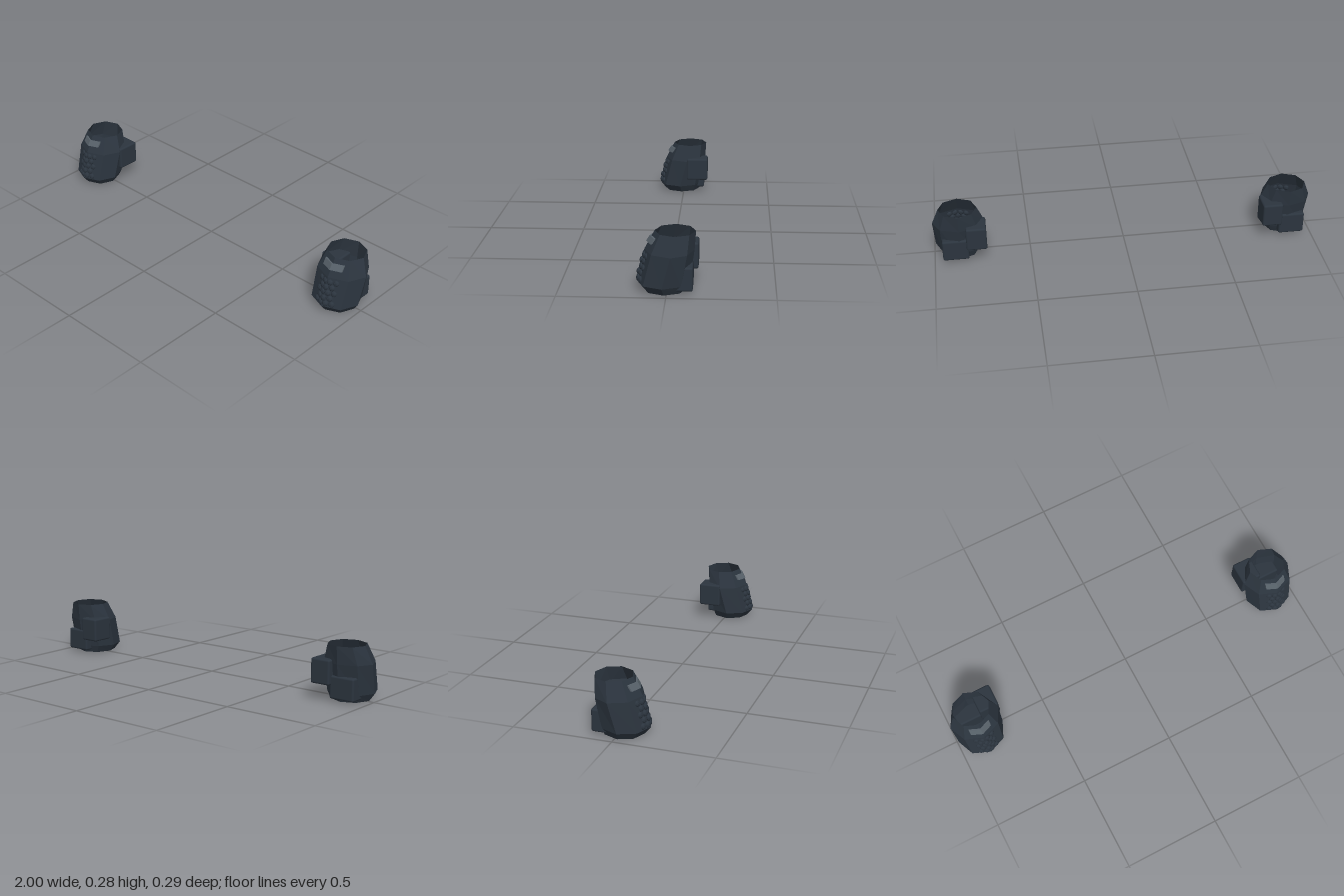
import * as THREE from 'three';
import { RoundedBoxGeometry } from 'three/addons/geometries/RoundedBoxGeometry.js';

const dark = new THREE.MeshStandardMaterial({ color: 0x2b343e, flatShading: true, side: THREE.DoubleSide });
const smooth = new THREE.MeshStandardMaterial({ color: 0x2b343e });
const pale = new THREE.MeshStandardMaterial({ color: 0x566068, flatShading: true });

// Body rings from the floor up: height, centre z, half width, reach to front, reach to back
const RINGS = [
  [0, 0.012, 0, 0, 0],
  [0, 0.012, 0.1, 0.1, 0.102],
  [0.038, 0.02, 0.126, 0.123, 0.123],
  [0.19, -0.02, 0.134, 0.125, 0.105],
  [0.279, -0.0365, 0.099, 0.0945, 0.0945],
];
const FLANK = Math.SQRT2 - 1; // how fast the front falls away from its ridge

function add(group, name, geometry, material, x = 0, y = 0, z = 0) {
  const mesh = new THREE.Mesh(geometry, material);
  mesh.name = name;
  mesh.position.set(x, y, z);
  group.add(mesh);
  return mesh;
}

// Eight-sided open shell: a lathe whose rings are shifted and stretched
function shellGeometry() {
  const geo = new THREE.LatheGeometry(RINGS.map(([y, , r]) => new THREE.Vector2(r, y)), 8);
  const p = geo.attributes.position;
  for (let i = 0; i < p.count; i++) {
    const [, cz, rx, front, back] = RINGS[i % RINGS.length];
    const unit = rx ? p.getZ(i) / rx : 0;
    p.setZ(i, cz + unit * (unit > 0 ? front : back));
  }
  geo.computeVertexNormals();
  return geo;
}

// Bent strip that follows the ridge and leans back with the front
function stripGeometry() {
  const w = 0.056, h = 0.027, t = 0.008, d = w * FLANK;
  const shape = new THREE.Shape();
  shape.moveTo(-w, d);
  shape.lineTo(0, 0);
  shape.lineTo(w, d);
  shape.lineTo(w, d + t);
  shape.lineTo(0, t);
  shape.lineTo(-w, d + t);
  const geo = new THREE.ExtrudeGeometry(shape, { depth: h, bevelEnabled: false });
  geo.rotateX(-Math.PI / 2);
  const p = geo.attributes.position;
  for (let i = 0; i < p.count; i++) p.setZ(i, p.getZ(i) - 0.62 * p.getY(i));
  geo.computeVertexNormals();
  return geo;
}

// Staggered rows of flattened studs on both flanks of the ridge
function addStuds(group) {
  const geo = new THREE.SphereGeometry(0.0155, 8, 6);
  geo.scale(1, 1, 0.65);
  for (let row = 0; row < 5; row++) {
    const count = row % 2 ? 3 : 4;
    const y = 0.056 + row * 0.0275;
    const ridge = 0.144 - ((y - 0.038) / 0.152) * 0.039;
    for (let i = 0; i < count; i++) {
      const x = (i - (count - 1) / 2) * 0.029;
      const stud = add(group, 'stud', geo, dark, x, y, ridge - Math.abs(x) * FLANK - 0.001);
      stud.rotation.set(-0.25, Math.sign(x) * Math.PI / 8, 0);
    }
  }
}

// side is the outward direction along x
function createCuff(side) {
  const cuff = new THREE.Group();
  cuff.name = side > 0 ? 'leftCuff' : 'rightCuff';
  add(cuff, 'shell', shellGeometry(), dark);
  add(cuff, 'frontStrip', stripGeometry(), pale, 0, 0.228, 0.097);
  addStuds(cuff);
  // Low pouch on the outer back, higher pouch on the inner back
  add(cuff, 'outerPouch', new RoundedBoxGeometry(0.135, 0.115, 0.09, 2, 0.01), smooth,
    side * 0.023, 0.0725, -0.075);
  add(cuff, 'innerPouch', new RoundedBoxGeometry(0.106, 0.126, 0.122, 2, 0.01), smooth,
    side * -0.087, 0.145, -0.081);
  cuff.position.x = side * 0.866;
  return cuff;
}

export function createModel() {
  const model = new THREE.Group();
  model.name = 'cuffPair';
  for (const side of [-1, 1]) model.add(createCuff(side));
  return model;
}
